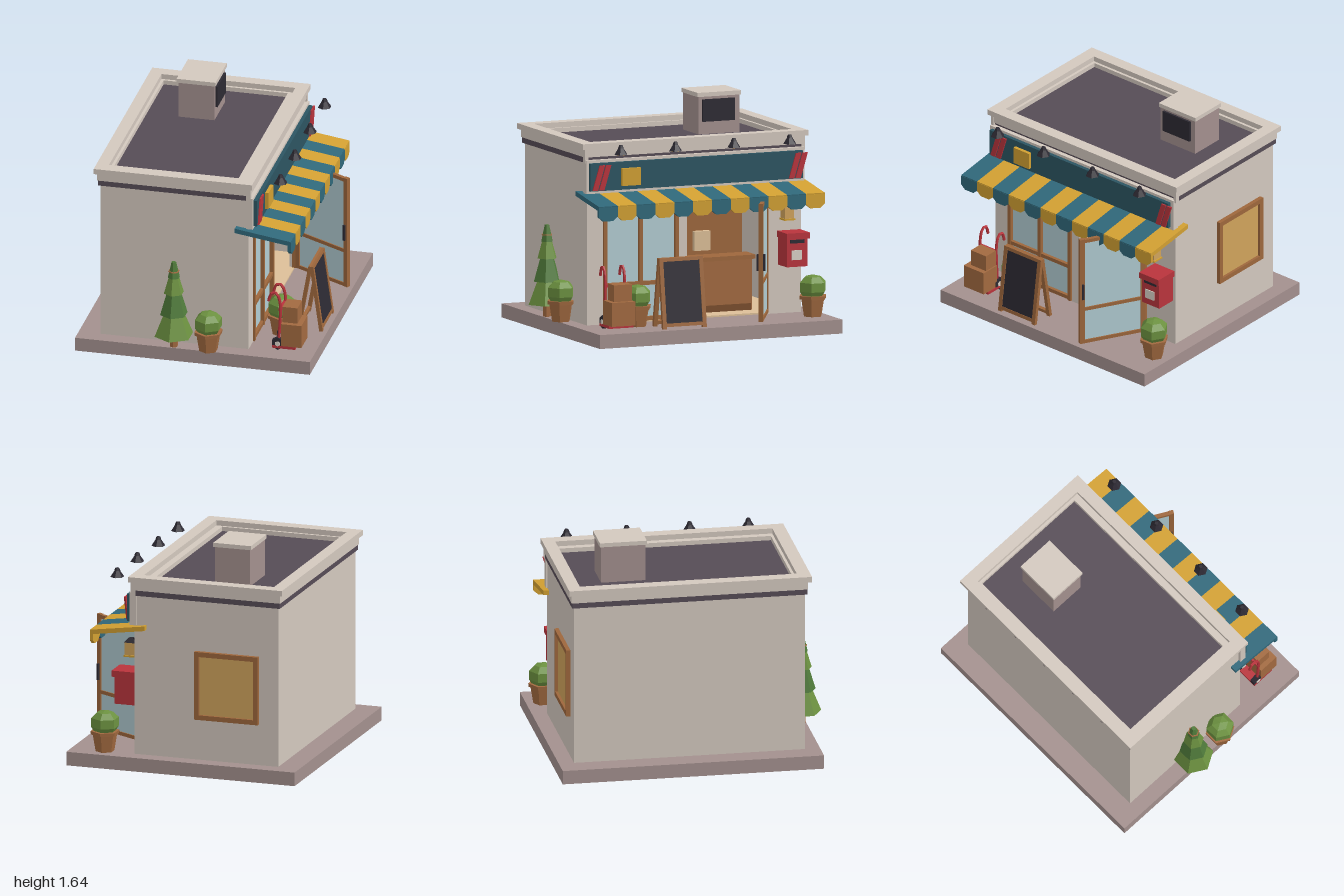
import * as THREE from 'three';

const C = {
  wall: 0xd3c8be, base: 0xa3908e, roof: 0x564c56, dark: 0x2d2a33, teal: 0x30687a, sign: 0x2c5562,
  yellow: 0xd2a032, red: 0xb9343c, wood: 0x9e673c, darkWood: 0x7a4d2c, glass: 0xb2cdd3, tan: 0xd0a35c,
  card: 0xa26a40, leaf: 0x6c9140, pine: 0x4f7a3a, floor: 0xdcbf98, pale: 0xd9d2c8,
};
const mats = {};
const mat = (c) => (mats[c] ??= new THREE.MeshStandardMaterial({ color: C[c], flatShading: true }));

export function createModel() {
  const model = new THREE.Group();

  const add = (name, geo, color, parent = model) => {
    const m = new THREE.Mesh(geo, mat(color));
    m.name = name;
    parent.add(m);
    return m;
  };
  const group = (name, x = 0, y = 0, z = 0) => {
    const g = new THREE.Group();
    g.name = name;
    g.position.set(x, y, z);
    model.add(g);
    return g;
  };
  // box given by its extents
  const box = (name, color, x0, x1, y0, y1, z0, z1, parent) => {
    const g = new THREE.BoxGeometry(x1 - x0, y1 - y0, z1 - z0);
    g.translate((x0 + x1) / 2, (y0 + y1) / 2, (z0 + z1) / 2);
    return add(name, g, color, parent);
  };
  const shapeOf = (pts) => new THREE.Shape(pts.map(([a, b]) => new THREE.Vector2(a, b)));
  const extrude = (pts, depth) => new THREE.ExtrudeGeometry(shapeOf(pts), { depth, bevelEnabled: false });
  // outline in (z, y), thickness along x
  const slabX = (name, color, pts, x0, x1, parent) =>
    add(name, extrude(pts, x1 - x0).rotateY(-Math.PI / 2).translate(x1, 0, 0), color, parent);
  // outline in (x, y), thickness along z
  const slabZ = (name, color, pts, z0, z1, parent) =>
    add(name, extrude(pts, z1 - z0).translate(0, 0, z0), color, parent);
  // rectangular ring seen from above, extents [x0, x1, z0, z1]
  const rect = ([x0, x1, z0, z1]) => [[x0, -z1], [x1, -z1], [x1, -z0], [x0, -z0]];
  const ring = (name, color, outer, inner, y0, y1) => {
    const s = shapeOf(rect(outer));
    s.holes.push(shapeOf(rect(inner)));
    const g = new THREE.ExtrudeGeometry(s, { depth: y1 - y0, bevelEnabled: false });
    return add(name, g.rotateX(-Math.PI / 2).translate(0, y0, 0), color);
  };
  const cyl = (name, color, rTop, rBot, y0, y1, parent, sides = 6) =>
    add(name, new THREE.CylinderGeometry(rTop, rBot, y1 - y0, sides).translate(0, (y0 + y1) / 2, 0), color, parent);

  // ground slab and shop shell
  box('base', 'base', -0.86, 0.86, 0, 0.1, -1, 0.89);
  box('floor', 'floor', -0.68, 0.38, 0.1, 0.112, -0.87, 0.76);
  box('rearWall', 'wall', -0.7, -0.66, 0.1, 1.3, -0.89, 0.78);
  box('leftSideWall', 'wall', -0.7, 0.385, 0.1, 1.3, 0.74, 0.78);
  box('rightSideWall', 'wall', -0.7, 0.385, 0.1, 1.3, -0.89, -0.85);
  for (const [z0, z1] of [[0.65, 0.78], [0, 0.07], [-0.89, -0.61]])
    box('facadePillar', 'wall', 0.345, 0.385, 0.1, 1, z0, z1);
  box('facadeHeader', 'wall', 0.345, 0.385, 0.97, 1.3, -0.89, 0.78);

  // roof, parapet and trims
  box('roof', 'roof', -0.69, 0.38, 1.28, 1.34, -0.88, 0.77);
  ring('darkTrim', 'roof', [-0.715, 0.388, -0.905, 0.795], [-0.66, 0.35, -0.85, 0.74], 1.27, 1.312);
  ring('lowerCornice', 'wall', [-0.72, 0.4, -0.91, 0.8], [-0.63, 0.28, -0.82, 0.71], 1.31, 1.372);
  ring('upperCornice', 'wall', [-0.74, 0.42, -0.93, 0.825], [-0.65, 0.33, -0.84, 0.73], 1.37, 1.41);
  for (const z of [-0.9, 0.79]) box('cornerTrim', 'wall', 0.37, 0.405, 1.27, 1.37, z - 0.012, z + 0.012);

  // rooftop vent
  box('ventBody', 'base', -0.4, -0.135, 1.32, 1.61, -0.64, -0.32);
  box('ventCap', 'wall', -0.41, -0.125, 1.61, 1.64, -0.65, -0.31);
  box('ventGrille', 'dark', -0.14, -0.12, 1.43, 1.59, -0.6, -0.35);

  // sign board with slanted stripes
  box('signFrame', 'wall', 0.37, 0.42, 1.05, 1.29, -0.9, 0.8);
  box('signBoard', 'sign', 0.42, 0.447, 1.07, 1.27, -0.875, 0.78);
  box('signPlaque', 'yellow', 0.44, 0.472, 1.1, 1.225, 0.395, 0.54);
  for (const z of [0.765, 0.715, -0.765, -0.815])
    slabX('signStripe', 'red', [[z - 0.04, 1.075], [z, 1.075], [z - 0.055, 1.255], [z - 0.095, 1.255]], 0.445, 0.458);

  // striped awning with scalloped valance
  const awning = group('awning');
  const n = 12, w = 1.76 / n;
  for (let i = 0; i < n; i++) {
    const z1 = 0.828 - i * w, z0 = z1 - w, color = i % 2 ? 'yellow' : 'teal';
    slabZ('awningStripe', color, [[0.295, 1.023], [0.7, 0.964], [0.705, 0.997], [0.295, 1.057]], z0, z1, awning);
    slabX('awningScallop', color,
      [[z0, 0.99], [z0, 0.92], [z0 + 0.035, 0.89], [z1 - 0.035, 0.89], [z1, 0.92], [z1, 0.99]], 0.682, 0.706, awning);
  }

  // sign lamps
  for (const z of [0.6, 0.175, -0.28, -0.715]) {
    const lamp = group('signLamp', 0.575, 1.345, z);
    cyl('lampShade', 'dark', 0.02, 0.05, 0, 0.045, lamp);
    cyl('lampCap', 'dark', 0.014, 0.022, 0.045, 0.065, lamp);
    cyl('lampBulb', 'tan', 0.03, 0.03, -0.004, 0.01, lamp);
  }

  // shop windows
  box('shopGlass', 'glass', 0.362, 0.372, 0.12, 0.97, 0.07, 0.65);
  for (const z of [0.64, 0.362, 0.083]) box('windowPost', 'wood', 0.355, 0.4, 0.105, 0.98, z - 0.013, z + 0.013);
  for (const y of [0.125, 0.38, 0.965]) box('windowRail', 'wood', 0.357, 0.396, y - 0.014, y + 0.014, 0.07, 0.65);

  // doorway frame and open door
  box('doorJamb', 'wood', 0.365, 0.4, 0.11, 0.99, -0.625, -0.6);
  box('doorLintel', 'wood', 0.365, 0.4, 0.965, 0.99, -0.61, 0);
  const door = group('door', 0.395, 0, -0.615);
  door.rotation.y = -0.5;
  box('doorGlass', 'glass', 0.02, 0.48, 0.13, 0.95, -0.005, 0.005, door);
  for (const x of [0, 0.465]) box('doorStile', 'wood', x, x + 0.035, 0.115, 0.965, -0.015, 0.015, door);
  for (const y of [0.115, 0.38, 0.935]) box('doorRail', 'wood', 0.03, 0.47, y, y + 0.026, -0.014, 0.014, door);
  box('doorHandle', 'dark', 0.472, 0.487, 0.48, 0.6, -0.03, 0.03, door);

  // interior cabinet and counter
  box('cabinet', 'wood', -0.1, 0, 0.15, 0.86, -0.6, 0.2);
  for (const z of [-0.06, -0.275]) box('shelfBox', 'floor', 0, 0.04, 0.53, 0.67, z - 0.062, z + 0.062);
  box('counter', 'card', 0.1, 0.22, 0.112, 0.48, -0.58, -0.08);
  box('counterTop', 'wood', 0.08, 0.24, 0.48, 0.51, -0.6, -0.06);
  box('counterPlinth', 'darkWood', 0.11, 0.225, 0.112, 0.16, -0.57, -0.09);

  // side window
  box('sideWindowPane', 'tan', -0.53, -0.1, 0.42, 0.88, -0.9, -0.88);
  for (const x of [-0.555, -0.11]) box('sideWindowPost', 'wood', x, x + 0.035, 0.4, 0.9, -0.92, -0.88);
  for (const y of [0.4, 0.865]) box('sideWindowRail', 'wood', -0.555, -0.075, y, y + 0.035, -0.92, -0.88);

  // letter box and wall lantern
  box('letterBox', 'red', 0.385, 0.54, 0.45, 0.65, -0.87, -0.71);
  box('letterBoxLid', 'red', 0.385, 0.56, 0.65, 0.695, -0.88, -0.7);
  box('letterSlot', 'dark', 0.535, 0.546, 0.62, 0.645, -0.845, -0.735);
  box('letterPanel', 'pale', 0.535, 0.546, 0.5, 0.57, -0.825, -0.745);
  box('lanternArm', 'dark', 0.385, 0.46, 0.9, 0.915, -0.76, -0.74);
  box('lanternGlass', 'tan', 0.42, 0.495, 0.79, 0.885, -0.785, -0.715);
  box('lanternFoot', 'yellow', 0.413, 0.502, 0.78, 0.792, -0.793, -0.707);
  const cap = group('lanternCap', 0.458, 0.885, -0.75);
  cyl('lanternRoof', 'dark', 0.02, 0.06, 0, 0.03, cap, 4).rotation.y = Math.PI / 4;

  // potted bushes
  const bush = [[0.075, 0.14], [0.1, 0.18], [0.1, 0.245], [0.06, 0.285], [0, 0.3]].map((p) => new THREE.Vector2(...p));
  for (const [x, z] of [[0.11, 0.86], [0.55, 0.46], [0.61, -0.88]]) {
    const pot = group('pottedBush', x, 0.1, z);
    cyl('pot', 'card', 0.09, 0.068, 0, 0.13, pot);
    cyl('potRim', 'card', 0.105, 0.102, 0.125, 0.15, pot);
    add('bush', new THREE.LatheGeometry(bush, 6), 'leaf', pot);
  }

  // conifer
  const tree = group('conifer', -0.145, 0, 0.855);
  cyl('trunk', 'card', 0.03, 0.03, 0.1, 0.22, tree);
  [[0.07, 0.143, 0.19, 0.37], [0.05, 0.102, 0.355, 0.53], [0.033, 0.074, 0.52, 0.66], [0.017, 0.045, 0.64, 0.76]]
    .forEach(([a, b, y0, y1], i) => cyl('coniferTier', i % 2 ? 'pine' : 'leaf', a, b, y0, y1, tree));
  cyl('coniferBand', 'card', 0.04, 0.042, 0.686, 0.692, tree);

  // hand truck with parcels
  const truck = group('handTruck');
  box('truckPlate', 'red', 0.55, 0.72, 0.118, 0.138, 0.565, 0.755, truck);
  for (const z of [0.585, 0.735]) {
    const pts = [[0.59, 0.13], [0.603, 0.3], [0.603, 0.48], [0.575, 0.54], [0.54, 0.535], [0.52, 0.475]];
    const path = new THREE.CatmullRomCurve3(pts.map(([x, y]) => new THREE.Vector3(x, y, z)));
    add('truckRail', new THREE.TubeGeometry(path, 16, 0.011, 6), 'red', truck);
    const wheel = cyl('truckWheel', 'dark', 0.048, 0.048, -0.018, 0.018, truck);
    wheel.rotation.x = Math.PI / 2;
    wheel.position.set(0.59, 0.152, z);
    const hub = cyl('wheelHub', 'pale', 0.02, 0.02, -0.022, 0.022, truck);
    hub.rotation.x = Math.PI / 2;
    hub.position.copy(wheel.position);
  }
  box('truckCrossbar', 'red', 0.593, 0.613, 0.4, 0.42, 0.585, 0.735, truck);
  box('lowerParcel', 'card', 0.615, 0.765, 0.138, 0.31, 0.57, 0.755, truck);
  box('upperParcel', 'card', 0.618, 0.728, 0.31, 0.43, 0.58, 0.72, truck);

  // folding sidewalk board: the front leaf carries the panel, the rear leaf is open
  const leaf = (name, topX, footX) => {
    const g = group(name, topX, 0.605, 0.213);
    g.rotation.z = Math.atan2(footX - topX, 0.5);
    for (const z of [-0.155, 0.155]) box('boardPost', 'wood', -0.013, 0.013, -0.505, 0, z - 0.015, z + 0.015, g);
    for (const y of [-0.49, -0.025]) box('boardRail', 'wood', -0.012, 0.012, y, y + 0.025, -0.15, 0.15, g);
    return g;
  };
  const front = leaf('boardFront', 0.748, 0.818);
  box('boardPanel', 'dark', -0.008, 0.008, -0.48, -0.02, -0.15, 0.15, front);
  leaf('boardBack', 0.738, 0.65);

  return model;
}
